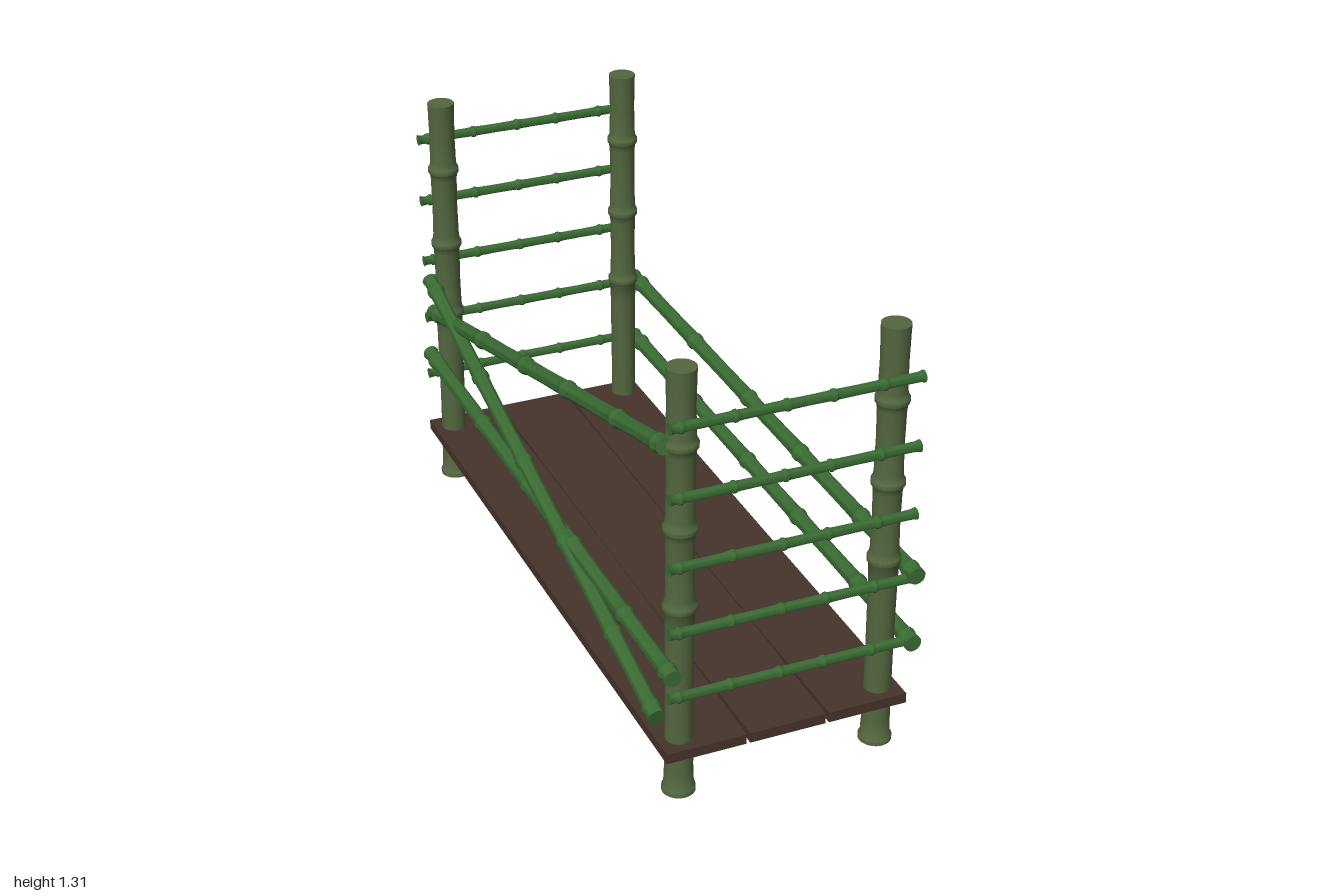
import * as THREE from 'three';
import { toCreasedNormals } from 'three/addons/utils/BufferGeometryUtils.js';

const postMat = new THREE.MeshStandardMaterial({ color: 0x53663f });
const poleMat = new THREE.MeshStandardMaterial({ color: 0x3a6b33 });
const woodMat = new THREE.MeshStandardMaterial({ color: 0x46342b });

// Bamboo stalk along +y from 0 to length: slim stretches that swell into raised joints.
function bamboo(length, rBody, rEnd, joints, rJoint, jointHalf) {
  const p = [[0, 0], [rEnd, 0]];
  let prev = 0;
  const stretch = (a, b) => {
    const d = b - a;
    p.push([rBody * 1.04, a + d * 0.12], [rBody, a + d * 0.5], [rBody * 1.04, a + d * 0.88]);
  };
  for (const y of joints) {
    if (y - prev > jointHalf * 4) stretch(prev, y);
    const rs = rBody * 1.1;
    if (y > jointHalf * 2) p.push([rs, y - jointHalf]);
    p.push([rJoint, y - jointHalf * 0.5], [rJoint, y + jointHalf * 0.5], [rs, y + jointHalf]);
    prev = y;
  }
  if (length - prev > jointHalf * 4) stretch(prev, length);
  p.push([rEnd, length], [0, length]);
  const geo = new THREE.LatheGeometry(p.map(([x, y]) => new THREE.Vector2(x, y)), 20);
  return toCreasedNormals(geo, 0.7);
}

function poleBetween(name, geo, length, a, b) {
  const mesh = new THREE.Mesh(geo, poleMat);
  const dir = b.clone().sub(a);
  mesh.name = name;
  mesh.position.copy(a);
  mesh.scale.y = dir.length() / length;
  mesh.quaternion.setFromUnitVectors(new THREE.Vector3(0, 1, 0), dir.normalize());
  return mesh;
}

// Plank outlined in x/z, with carved grain recesses in its top face.
function plank(x0, x1, bowLeft, bowRight, grooves) {
  const group = new THREE.Group();
  group.name = 'plank';
  const zs = [-0.98, -0.5, 0, 0.5, 0.985];
  const bow = z => 0.006 * (1 - z * z);
  const outline = [
    ...zs.map(z => new THREE.Vector2(x1 + bowRight * bow(z), -z)),
    ...zs.slice().reverse().map(z => new THREE.Vector2(x0 - bowLeft * bow(z), -z)),
  ];
  const layer = (y, depth, carved) => {
    const shape = new THREE.Shape(outline);
    if (carved) {
      for (const g of grooves) shape.holes.push(new THREE.Path(g.map(([x, z]) => new THREE.Vector2(x, -z))));
    }
    const geo = new THREE.ExtrudeGeometry(shape, { depth, bevelEnabled: false });
    geo.rotateX(-Math.PI / 2);
    const mesh = new THREE.Mesh(geo, woodMat);
    mesh.position.y = y;
    mesh.name = carved ? 'carvedTop' : 'plankBase';
    group.add(mesh);
  };
  layer(0.147, 0.019, false);
  layer(0.166, 0.012, true);
  return group;
}

export function createModel() {
  const model = new THREE.Group();
  model.name = 'bambooBedFrame';
  const V = (x, y, z) => new THREE.Vector3(x, y, z);

  // Four corner posts
  const postGeo = bamboo(1.31, 0.0385, 0.041, [0.01, 0.6, 0.84, 1.09], 0.0475, 0.013);
  for (const x of [-0.302, 0.298]) {
    for (const z of [-0.92, 0.92]) {
      const post = new THREE.Mesh(postGeo, postMat);
      post.name = 'post';
      post.position.set(x, 0, z);
      model.add(post);
    }
  }

  // Ladder rungs at both ends
  const rungGeo = bamboo(0.715, 0.0135, 0.017, [0.03, 0.18, 0.325, 0.455, 0.6], 0.0175, 0.007);
  for (const z of [-0.98, 0.978]) {
    for (const y of [0.352, 0.555, 0.757, 0.965, 1.172]) {
      model.add(poleBetween('rung', rungGeo, 0.715, V(-0.36, y, z), V(0.355, y, z)));
    }
  }

  // Side rails and crossed braces
  const railGeo = bamboo(1.97, 0.0215, 0.025, [0.04, 0.33, 0.715, 1.07, 1.47, 1.91], 0.027, 0.011);
  const rail = (name, a, b) => model.add(poleBetween(name, railGeo, 1.97, a, b));
  rail('leftRail', V(0.358, 0.57, 1), V(0.358, 0.57, -0.97));
  rail('leftRail', V(0.358, 0.352, 1), V(0.358, 0.352, -0.97));
  rail('rightRail', V(-0.354, 0.43, 1), V(-0.354, 0.43, -0.97));
  rail('fallingBrace', V(-0.35, 1.097, 0.93), V(-0.35, 0.597, -0.93));
  rail('risingBrace', V(-0.371, 0.266, 0.93), V(-0.358, 0.712, -0.93));

  // Three-plank floor
  model.add(plank(-0.365, -0.131, 0, 1, [
    [[-0.25, -0.92], [-0.185, -0.92], [-0.255, -0.66], [-0.225, -0.25], [-0.33, -0.65]],
    [[-0.25, 0.08], [-0.205, 0.2], [-0.215, 0.53], [-0.275, 0.4]],
  ]));
  model.add(plank(-0.119, 0.107, 0.7, 0.6, [
    [[-0.055, -0.9], [0.015, -0.9], [-0.045, -0.65]],
    [[-0.035, -0.43], [0.06, 0.21], [0.015, 0.4], [-0.035, 0.2]],
    [[-0.03, 0.78], [0.05, 0.74], [0, 0.92]],
  ]));
  model.add(plank(0.118, 0.355, 0.7, 0, [
    [[0.195, -0.78], [0.3, -0.29], [0.275, 0.27], [0.21, 0.04], [0.225, -0.2]],
    [[0.24, 0.57], [0.295, 0.57], [0.27, 0.81]],
  ]));
  return model;
}
